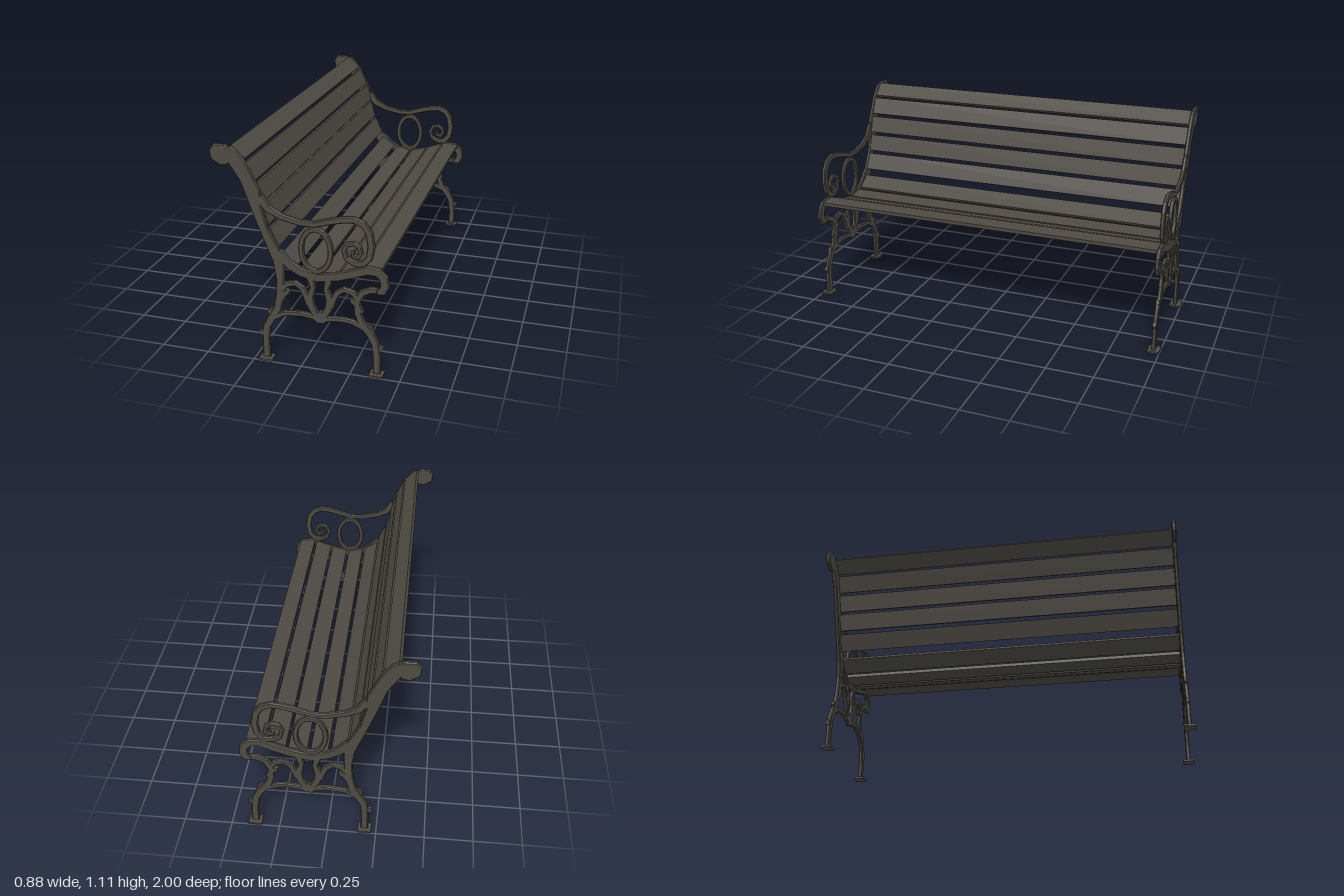
import * as THREE from 'three';

const iron = new THREE.MeshStandardMaterial({ color: 0x4e4a43 });
iron.name = 'dark bronze';

const DEPTH = 0.022, BEVEL = 0.005, END_Z = 0.967;

// Extrude an outline into a bevelled casting centred on z = 0
function cast(name, shape) {
  const geo = new THREE.ExtrudeGeometry(shape, {
    depth: DEPTH - 2 * BEVEL, bevelEnabled: true, bevelSize: BEVEL, bevelThickness: BEVEL,
    bevelOffset: -BEVEL, bevelSegments: 1, curveSegments: 12,
  });
  geo.translate(0, 0, -DEPTH / 2 + BEVEL);
  const mesh = new THREE.Mesh(geo, iron);
  mesh.name = name;
  return mesh;
}

const outline = (pts) => new THREE.Shape(pts.map(([x, y]) => new THREE.Vector2(x, y)));

// Flat bar following a centre line of [x, y, width]
function bar(name, pts) {
  const left = [], right = [];
  pts.forEach(([x, y, w], i) => {
    const a = pts[Math.max(i - 1, 0)], b = pts[Math.min(i + 1, pts.length - 1)];
    const dx = b[0] - a[0], dy = b[1] - a[1], k = w / 2 / Math.hypot(dx, dy);
    left.push([x - dy * k, y + dx * k]);
    right.unshift([x + dy * k, y - dx * k]);
  });
  return cast(name, outline([...left, ...right]));
}

function box(name, w, h, d, x, y, z, rot = 0) {
  const mesh = new THREE.Mesh(new THREE.BoxGeometry(w, h, d), iron);
  mesh.name = name;
  mesh.position.set(x, y, z);
  mesh.rotation.z = rot;
  return mesh;
}

// One cast end frame; side is +1 or -1 along z
function endFrame(side) {
  const g = new THREE.Group();
  g.name = side > 0 ? 'endFrameNear' : 'endFrameFar';
  g.position.z = side * END_Z;

  // Back post with rolled top
  g.add(cast('backPost', outline([
    [-0.415, 1.11], [-0.357, 1.11], [-0.345, 1.1], [-0.334, 1.105], [-0.304, 1.087], [-0.26, 1.034],
    [-0.216, 0.946], [-0.192, 0.9], [-0.188, 0.813], [-0.16, 0.71], [-0.104, 0.607], [-0.08, 0.56],
    [-0.083, 0.51], [-0.128, 0.51], [-0.149, 0.563], [-0.216, 0.731], [-0.254, 0.834],
    [-0.29, 0.937], [-0.343, 1.02], [-0.345, 1.013], [-0.384, 1.004], [-0.434, 1.034], [-0.44, 1.08],
  ])));

  // Legs
  g.add(bar('backLeg', [
    [-0.112, 0.55, 0.06], [-0.105, 0.45, 0.042], [-0.11, 0.363, 0.042], [-0.125, 0.287, 0.042],
    [-0.16, 0.228, 0.042], [-0.185, 0.18, 0.04], [-0.19, 0.1, 0.038], [-0.19, 0.008, 0.038],
  ]));
  g.add(bar('frontLeg', [
    [0.38, 0.458, 0.03], [0.345, 0.455, 0.034], [0.303, 0.435, 0.036], [0.28, 0.387, 0.035],
    [0.282, 0.328, 0.036], [0.303, 0.27, 0.04], [0.345, 0.222, 0.042], [0.369, 0.172, 0.04],
    [0.378, 0.1, 0.038], [0.378, 0.008, 0.038],
  ]));
  for (const x of [-0.19, 0.378]) {
    g.add(box('foot', 0.07, 0.01, 0.062, x, 0.005, side * 0.002));
  }

  // Leaf knobs on the legs
  for (const [x, y, r] of [[-0.212, 0.143, 0.1], [-0.16, 0.268, 0.9], [0.338, 0.255, 0.5], [0.392, 0.148, 0.9]]) {
    g.add(box('legKnob', 0.03, 0.026, 0.018, x, y, 0, r));
  }

  // Seat rail curling over at the front
  g.add(bar('seatRail', [
    [-0.115, 0.6, 0.04], [-0.06, 0.537, 0.05], [0, 0.503, 0.047], [0.08, 0.484, 0.046], [0.18, 0.503, 0.046],
    [0.26, 0.53, 0.046], [0.33, 0.556, 0.046], [0.38, 0.552, 0.046], [0.408, 0.525, 0.046],
    [0.415, 0.487, 0.046], [0.4, 0.455, 0.044], [0.375, 0.448, 0.03],
  ]));

  // Armrest and its spiral
  g.add(bar('armrest', [
    [-0.2, 0.87, 0.05], [-0.155, 0.81, 0.04], [-0.09, 0.778, 0.032], [0, 0.758, 0.03], [0.07, 0.757, 0.03],
    [0.16, 0.785, 0.033], [0.21, 0.797, 0.033], [0.265, 0.802, 0.033], [0.31, 0.785, 0.035],
    [0.337, 0.745, 0.036], [0.348, 0.68, 0.036], [0.338, 0.62, 0.034], [0.31, 0.588, 0.034], [0.27, 0.58, 0.03],
  ]));
  g.add(bar('armSpiral', [
    [0.3, 0.582, 0.03], [0.26, 0.585, 0.03], [0.227, 0.605, 0.026], [0.215, 0.645, 0.025], [0.232, 0.676, 0.025],
    [0.265, 0.684, 0.025], [0.291, 0.667, 0.024], [0.298, 0.637, 0.024], [0.283, 0.617, 0.026],
    [0.26, 0.622, 0.024], [0.256, 0.645, 0.02],
  ]));

  // Oval ring under the armrest
  const ring = new THREE.Shape().absellipse(0.077, 0.625, 0.087, 0.121, 0, Math.PI * 2);
  ring.holes.push(new THREE.Path().absellipse(0.077, 0.625, 0.06, 0.094, 0, Math.PI * 2, true));
  g.add(cast('ovalRing', ring));

  // Stretcher with pendant
  g.add(bar('stretcher', [
    [-0.15, 0.235, 0.03], [-0.09, 0.268, 0.028], [0, 0.278, 0.028], [0.06, 0.27, 0.028], [0.13, 0.27, 0.028],
    [0.2, 0.278, 0.028], [0.25, 0.274, 0.028], [0.3, 0.255, 0.03], [0.335, 0.235, 0.03],
  ]));
  g.add(cast('pendant', outline([
    [0.05, 0.28], [0.075, 0.295], [0.095, 0.315], [0.115, 0.295], [0.14, 0.28],
    [0.135, 0.262], [0.113, 0.24], [0.075, 0.24], [0.055, 0.262],
  ])));

  // Mirrored scrollwork below the seat
  const scrolls = {
    lyreStem: [[0.045, 0.485, 0.04], [0.06, 0.43, 0.03], [0.042, 0.375, 0.042], [0.05, 0.325, 0.04], [0.075, 0.28, 0.036]],
    scroll: [[-0.1, 0.395, 0.03], [-0.075, 0.428, 0.032], [-0.03, 0.44, 0.03], [0.005, 0.418, 0.032], [0.026, 0.375, 0.034], [0.04, 0.33, 0.034]],
    scrollCurl: [[-0.115, 0.325, 0.03], [-0.09, 0.375, 0.036], [-0.07, 0.388, 0.036], [-0.057, 0.385, 0.024]],
  };
  for (const [name, pts] of Object.entries(scrolls)) {
    g.add(bar(name, pts));
    g.add(bar(name, pts.map(([x, y, w]) => [0.186 - x, y, w]).reverse()));
  }
  return g;
}

// Slat whose visible face runs from a to b in profile
function slat(name, [ax, ay, bx, by]) {
  const t = 0.02, dx = bx - ax, dy = by - ay, len = Math.hypot(dx, dy);
  const x = (ax + bx) / 2 + (dy / len) * t / 2, y = (ay + by) / 2 - (dx / len) * t / 2;
  return box(name, len, t, 1.914, x, y, 0, Math.atan2(dy, dx));
}

export function createModel() {
  const model = new THREE.Group();
  model.name = 'bench';
  model.add(endFrame(1), endFrame(-1));

  const backSlats = [
    [-0.335, 1.106, -0.268, 1.045], [-0.26, 1.03, -0.22, 0.942], [-0.213, 0.925, -0.185, 0.834],
    [-0.188, 0.815, -0.16, 0.724], [-0.155, 0.706, -0.112, 0.618],
  ];
  const seatSlats = [
    [-0.1, 0.582, -0.022, 0.528], [-0.005, 0.52, 0.083, 0.505], [0.1, 0.506, 0.19, 0.529],
    [0.203, 0.533, 0.293, 0.566], [0.308, 0.574, 0.398, 0.568],
  ];
  backSlats.forEach((s) => model.add(slat('backSlat', s)));
  seatSlats.forEach((s) => model.add(slat('seatSlat', s)));
  return model;
}
